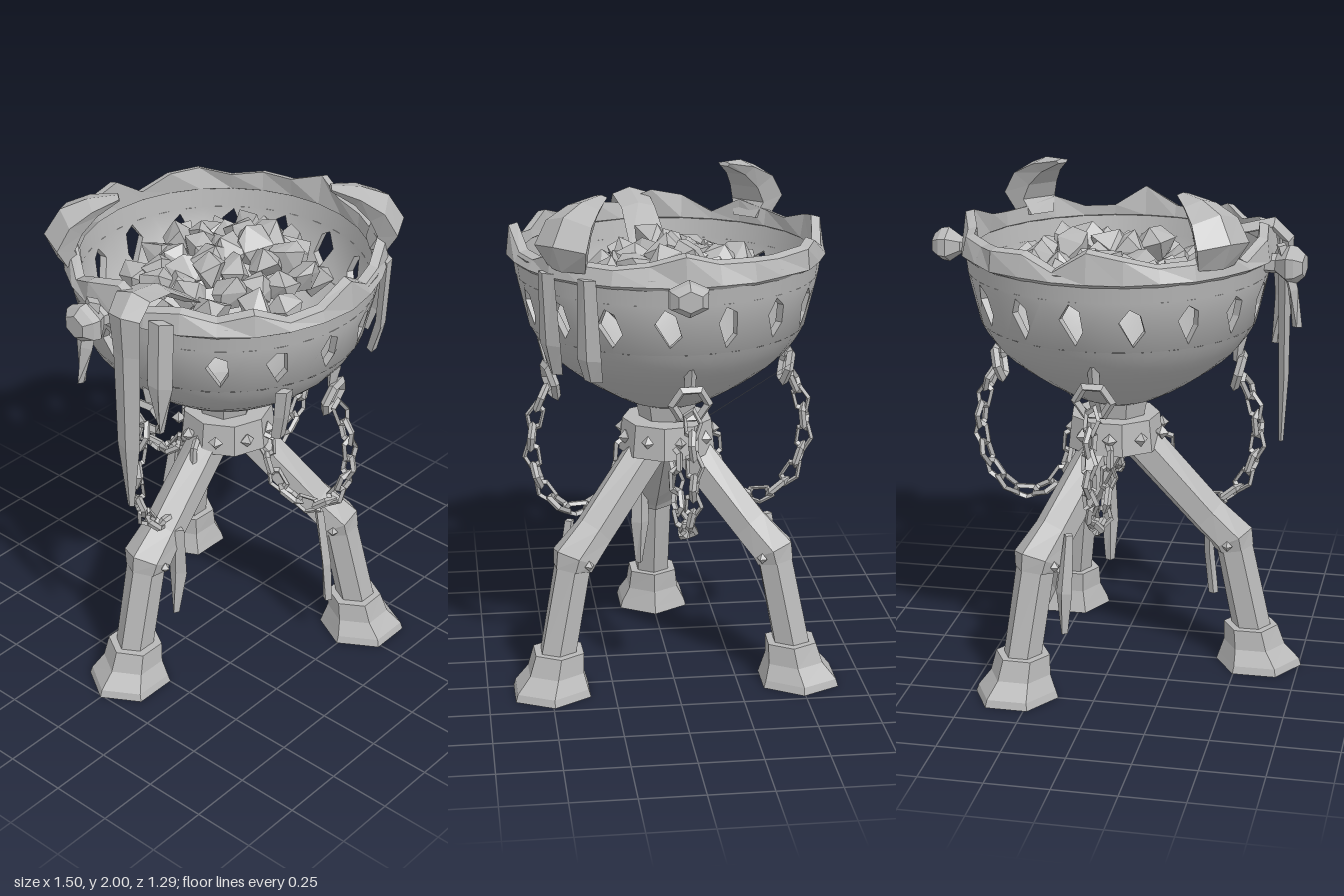
import * as THREE from 'three';
import { ConvexGeometry } from 'three/addons/geometries/ConvexGeometry.js';

const V = (x, y, z) => new THREE.Vector3(x, y, z);
const rad = THREE.MathUtils.degToRad;

export function createModel() {
  const model = new THREE.Group();
  model.name = 'brazier';
  const iron = new THREE.MeshStandardMaterial({ color: 0xb8b8b8, side: THREE.DoubleSide });
  iron.name = 'grey iron';

  let seed = 11;
  const rnd = () => (seed = (seed * 16807) % 2147483647) / 2147483647;

  const flat = (g) => {
    const f = g.index ? g.toNonIndexed() : g;
    f.computeVertexNormals();
    return f;
  };
  const add = (name, geo, parent = model) => {
    const m = new THREE.Mesh(geo, iron);
    m.name = name;
    parent.add(m);
    return m;
  };
  // Group turned so that its local +z points outward at the given angle from the front
  const spoke = (name, degrees) => {
    const g = new THREE.Group();
    g.name = name;
    g.rotation.y = rad(degrees);
    model.add(g);
    return g;
  };
  // Flat-shaded skin over rings listed from bottom to top
  const loft = (rings, capped = true) => {
    const p = [], n = rings[0].length;
    const tri = (...v) => v.forEach((q) => p.push(q.x, q.y, q.z));
    for (let k = 0; k < rings.length - 1; k++) {
      for (let i = 0; i < n; i++) {
        const j = (i + 1) % n, a = rings[k], b = rings[k + 1];
        tri(a[i], a[j], b[j]);
        tri(a[i], b[j], b[i]);
      }
    }
    const first = rings[0], last = rings[rings.length - 1];
    for (let i = 1; capped && i < n - 1; i++) {
      tri(first[0], first[i + 1], first[i]);
      tri(last[0], last[i], last[i + 1]);
    }
    const g = new THREE.BufferGeometry();
    g.setAttribute('position', new THREE.Float32BufferAttribute(p, 3));
    return flat(g);
  };
  // Polygon section: distance out, height, half width, half depth, tilt in degrees
  const ring = (n, [r, y, w, d, tilt = 0]) => Array.from({ length: n }, (_, i) => {
    const a = (i / n) * Math.PI * 2, t = rad(tilt), s = Math.cos(a) * d;
    return V(Math.sin(a) * w, y + s * Math.sin(t), r + s * Math.cos(t));
  });
  const sweep = (n, rows) => loft(rows.map((row) => ring(n, row)));

  // Bowl: smooth lower shell and upper lip with a pierced band between
  const thick = 0.03, y0 = 1.44, y1 = 1.64, r0 = 0.545, r1 = 0.592;
  const lathe = (pts) => new THREE.LatheGeometry(
    new THREE.SplineCurve(pts.map(([x, y]) => new THREE.Vector2(x, y))).getPoints(12), 32);
  add('bowlOuter', lathe([[0.001, 1.08], [0.13, 1.105], [0.29, 1.19], [0.44, 1.3], [0.51, 1.38], [r0, y0]]));
  add('bowlInner', lathe([[0.001, 1.11], [0.12, 1.135], [0.27, 1.22], [0.42, 1.33], [r0 - thick, y0]]));
  add('lipOuter', lathe([[r1, y1], [0.605, 1.74]]));
  add('lipInner', lathe([[r1 - thick, y1], [0.575, 1.74]]));

  const step = Math.PI / 8, slope = (r1 - r0) / (y1 - y0);
  for (let k = 0; k < 16; k++) {
    const h = step / 2, a = k * step - rad(6);
    const panel = new THREE.Shape([[-h, y0], [0, y0], [h, y0], [h, y1], [0, y1], [-h, y1]]
      .map(([x, y]) => new THREE.Vector2(x, y)));
    const hole = [[0.01, 1.465], [0.075, 1.52], [0.05, 1.595], [-0.02, 1.62], [-0.075, 1.56]]
      .map(([x, y]) => new THREE.Vector2(x * (0.8 + rnd() * 0.4), y + (rnd() - 0.5) * 0.02));
    panel.holes.push(new THREE.Path(hole));
    const g = new THREE.ExtrudeGeometry(panel, { depth: thick, bevelEnabled: false });
    const p = g.attributes.position, caps = g.groups[0].count;
    const capZ = Array.from({ length: p.count }, (_, i) => p.getZ(i));
    for (let i = 0; i < p.count; i++) {
      const t = a + p.getX(i), y = p.getY(i);
      const r = r0 + (y - y0) * slope - thick + p.getZ(i);
      p.setXYZ(i, r * Math.sin(t), y, r * Math.cos(t));
    }
    g.computeVertexNormals();
    for (let i = 0; i < caps; i++) {
      const s = capZ[i] > 0.01 ? 1 : -1;
      const lean = THREE.MathUtils.mapLinear(p.getY(i), y0, y1, 0.58, 0.13);
      const n = V(p.getX(i), 0, p.getZ(i)).normalize().setY(-lean).normalize().multiplyScalar(s);
      g.attributes.normal.setXYZ(i, n.x, n.y, n.z);
    }
    add('piercedBand', g);
  }

  // Jagged hammered rim
  const section = [[0.6, 1.7], [0.622, 1.715], [0.605, 1.77], [0.57, 1.78], [0.565, 1.72]];
  const rimRings = Array.from({ length: 28 }, (_, i) => {
    const a = (i / 28) * Math.PI * 2;
    const lift = i % 7 === 0 ? 0.06 : (rnd() - 0.5) * 0.07, out = (rnd() - 0.5) * 0.04;
    return section.map(([r, y], j) => {
      const top = j === 2 || j === 3, q = r + (j === 1 ? out / 2 : top ? out : 0);
      return V(q * Math.sin(a), y + (top ? lift : 0), q * Math.cos(a));
    });
  });
  add('rim', loft([...rimRings, rimRings[0]].reverse(), false));

  // Curled horns on the rim
  for (const angle of [46, 228]) {
    add('horn', sweep(5, [[0.59, 1.75, 0.09, 0.05], [0.625, 1.83, 0.13, 0.065, 20],
      [0.58, 1.91, 0.115, 0.06, 45], [0.5, 1.96, 0.08, 0.035, 60],
      [0.4, 1.99, 0.03, 0.01, 75]]), spoke('hornMount', angle));
  }

  // Side knobs
  for (const [angle, size] of [[90, 1], [-96, 1.1]]) {
    add('knob', sweep(6, [[0, 0, 0.045, 0.035], [0, 0.05, 0.04, 0.035], [0, 0.1, 0.085, 0.07],
      [0, 0.13, 0.08, 0.065], [0, 0.16, 0.05, 0.04]]).rotateX(Math.PI / 2)
      .scale(size, size, 1).translate(0, 1.695, 0.585), spoke('knobMount', angle));
  }

  // Heap of coals
  for (let i = 0; i < 38; i++) {
    const r = 0.35 * Math.sqrt((i + 0.3) / 38), a = i * 2.4;
    const pts = Array.from({ length: 9 }, (_, j) => {
      const u = 1 - (2 * (j + 0.5)) / 9, s = Math.sqrt(1 - u * u), b = j * 2.4 + rnd();
      return V(s * Math.cos(b), u, s * Math.sin(b)).multiplyScalar(0.072 + rnd() * 0.022);
    });
    const coal = add('coal', flat(new ConvexGeometry(pts)));
    coal.position.set(r * Math.sin(a) + 0.03, 1.72 - r * r + (rnd() - 0.5) * 0.08, r * Math.cos(a) - 0.03);
    coal.rotation.set(rnd() * 3, rnd() * 3, rnd() * 3);
    coal.scale.set(1, 0.8 + rnd() * 0.4, 0.85);
  }

  // Neck, collar and studs
  add('neck', flat(new THREE.CylinderGeometry(0.13, 0.1, 0.14, 7))).position.set(0, 1.06, 0);
  add('collar', flat(new THREE.CylinderGeometry(0.18, 0.195, 0.13, 9))).position.set(0.015, 0.975, 0);
  for (let i = 0; i < 9; i++) {
    const stud = add('stud', flat(new THREE.OctahedronGeometry(0.03)), spoke('studMount', i * 40 + 20));
    stud.position.set(0, 0.975, 0.185);
  }

  // Three bent legs with flared feet
  for (const angle of [-90, 32, 148]) {
    const leg = spoke('leg', angle);
    add('foot', sweep(6, [[0.585, 0, 0.165, 0.175], [0.585, 0.03, 0.155, 0.165],
      [0.565, 0.09, 0.12, 0.125], [0.55, 0.17, 0.11, 0.11]]), leg);
    add('lowerLeg', sweep(6, [[0.555, 0.15, 0.075, 0.08], [0.47, 0.54, 0.08, 0.075]]), leg);
    add('upperLeg', sweep(6, [[0.475, 0.5, 0.085, 0.08, 10], [0.465, 0.545, 0.1, 0.09, 25],
      [0.37, 0.63, 0.085, 0.08, 47], [0.06, 0.96, 0.08, 0.085, 47]]), leg);
    for (const x of [-0.09, 0.09]) {
      add('kneeStud', flat(new THREE.OctahedronGeometry(0.022)), leg).position.set(x, 0.53, 0.46);
    }
  }

  // Four chains swagged from bowl to collar
  const swag = new THREE.CatmullRomCurve3([[1.2, 0.5], [1.1, 0.54], [0.95, 0.56], [0.78, 0.51],
    [0.69, 0.41], [0.71, 0.29], [0.82, 0.21], [0.95, 0.19]].map(([y, z]) => V(0, y, z)));
  for (const angle of [12, 94, 180, 274]) {
    const chain = spoke('chain', angle);
    const eye = add('chainRing', flat(new THREE.TorusGeometry(0.07, 0.018, 4, 6)), chain);
    eye.position.set(0, 1.23, 0.48);
    eye.rotation.x = 0.25;
    add('chainHook', sweep(4, [[0.47, 1.27, 0.02, 0.015], [0.48, 1.37, 0.025, 0.03]]), chain);
    for (let i = 0; i < 12; i++) {
      const link = add('chainLink',
        flat(new THREE.TorusGeometry(0.038, 0.011, 4, 5).scale(0.85, 1.4, 1.3)), chain);
      const u = (i + 0.5) / 12;
      link.position.copy(swag.getPointAt(u));
      link.quaternion.setFromUnitVectors(V(0, 1, 0), swag.getTangentAt(u));
      link.rotateY((i % 2) * Math.PI / 2 + 0.4);
    }
  }

  // Long rag draped over the rim into the coals
  add('drapedRag', sweep(4, [[0.65, 0.93, 0.015, 0.01], [0.655, 1.2, 0.05, 0.02], [0.65, 1.6, 0.06, 0.025],
    [0.66, 1.76, 0.07, 0.025, 20], [0.6, 1.82, 0.075, 0.025, 70], [0.46, 1.79, 0.07, 0.02, 110],
    [0.27, 1.66, 0.08, 0.015, 125]]), spoke('drape', -82));

  // Hanging rags: angle, then bottom, middle and top as distance out, height, half width
  const rags = [
    [37, [0.575, 1.33, 0.035], [0.605, 1.45, 0.06], [0.62, 1.73, 0.045]],
    [55, [0.575, 1.33, 0.04], [0.605, 1.42, 0.052], [0.62, 1.73, 0.04]],
    [-25, [0.5, 1.19, 0.03], [0.53, 1.3, 0.033], [0.55, 1.42, 0.036]],
    [-96, [0.72, 1.45, 0.01], [0.7, 1.6, 0.045], [0.65, 1.77, 0.04]],
    [-70, [0.64, 1.3, 0.01], [0.65, 1.5, 0.05], [0.63, 1.76, 0.05]],
    [-79, [0.39, 0.26, 0.015], [0.37, 0.45, 0.04], [0.37, 0.66, 0.03]],
    [16, [0.47, 0.22, 0.02], [0.46, 0.4, 0.035], [0.42, 0.65, 0.02]],
    [163, [0.45, 0.25, 0.015], [0.45, 0.42, 0.035], [0.41, 0.65, 0.02]],
  ];
  for (const [angle, ...rows] of rags) {
    add('rag', sweep(4, rows.map((row) => [...row, 0.02])), spoke('ragMount', angle));
  }

  // Taut cord behind the bowl
  add('cord', sweep(3, [[0.1, 0.99, 0.006, 0.006, 30], [0.5, 1.27, 0.004, 0.004, 30]]), spoke('cordMount', 168));

  return model;
}
